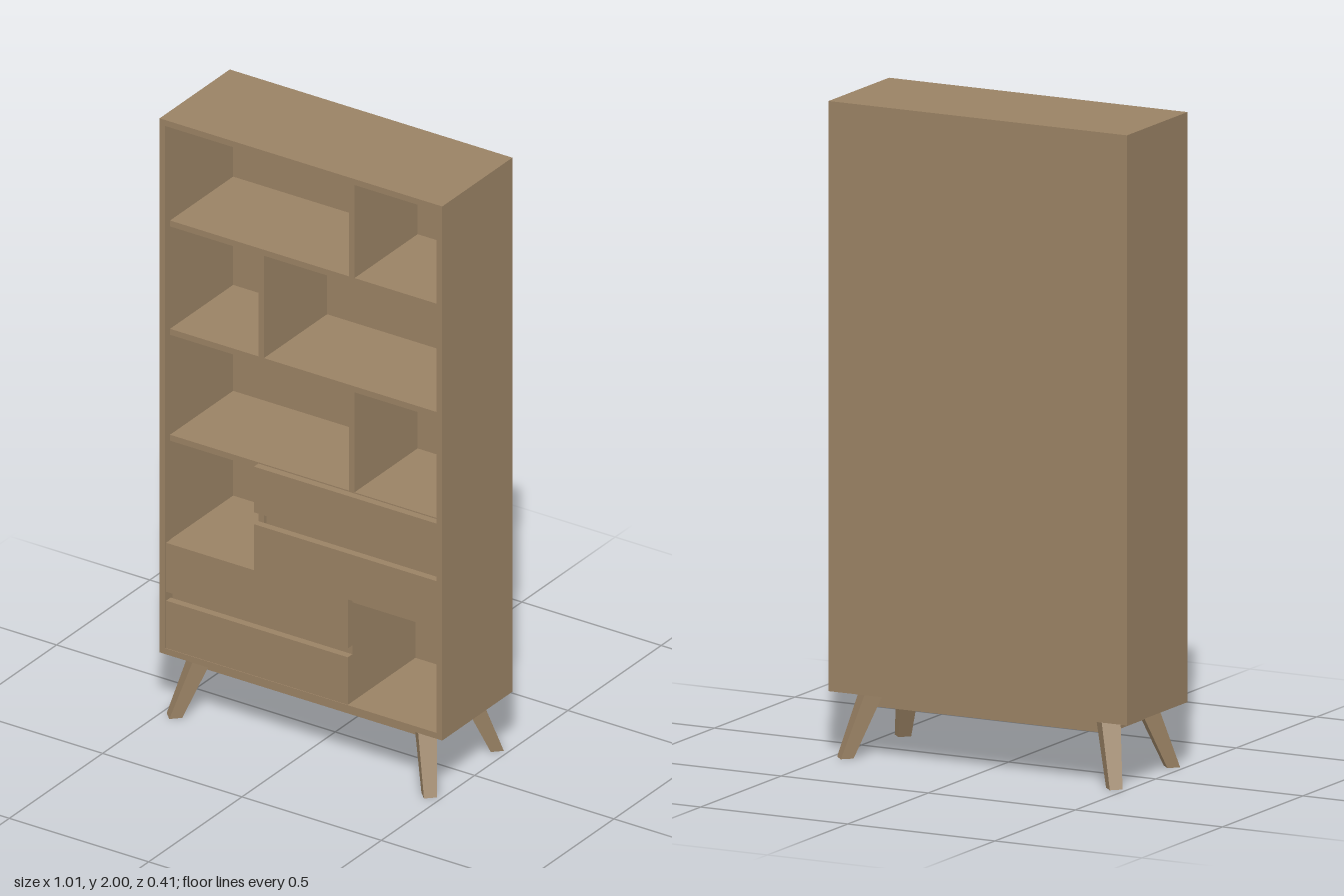
import * as THREE from 'three';

const W = 0.507, TOP = 2, BASE = 0.2, T = 0.02;      // case half width, heights, board thickness
const BACK = -0.192, INNER = 0.158, FRONT = 0.184;   // depth planes
const IN = W - T;                                    // inner half width

export function createModel() {
  const model = new THREE.Group();
  model.name = 'bookcase';
  const wood = new THREE.MeshStandardMaterial({ color: 0x9a8264 });
  wood.name = 'wood';

  const add = (name, geometry) => {
    const mesh = new THREE.Mesh(geometry, wood);
    mesh.name = name;
    model.add(mesh);
    return mesh;
  };
  // Box given by its limits on each axis
  const box = (name, x0, x1, y0, y1, z0, z1) => {
    const g = new THREE.BoxGeometry(x1 - x0, y1 - y0, z1 - z0);
    g.translate((x0 + x1) / 2, (y0 + y1) / 2, (z0 + z1) / 2);
    return add(name, g);
  };
  // Rectangular ring extruded in depth
  const ring = (name, z0, z1) => {
    const rect = (C, x, y0, y1) => {
      const p = new C();
      p.moveTo(-x, y0).lineTo(x, y0).lineTo(x, y1).lineTo(-x, y1).closePath();
      return p;
    };
    const shape = rect(THREE.Shape, W, BASE, TOP);
    shape.holes.push(rect(THREE.Path, IN, BASE + T, TOP - T));
    const g = new THREE.ExtrudeGeometry(shape, { depth: z1 - z0, bevelEnabled: false });
    g.translate(0, 0, z0);
    return add(name, g);
  };

  // Case, front edging and back panel
  ring('caseShell', BACK, INNER);
  ring('frontEdging', INNER, FRONT);
  box('backPanel', -IN, IN, BASE + T, TOP - T, BACK, BACK + 0.012);

  // Shelves, named by their top surface height
  const shelves = [0.575, 0.928, 1.285, 1.65];
  for (const y of shelves) box('shelf', -IN, IN, y - T, y, BACK + 0.012, INNER);

  // Upright dividers: left edge x, bottom, top
  const dividers = [
    [0.155, 1.65, TOP - T], [-0.17, 1.285, 1.63], [0.155, 0.928, 1.265],
    [-0.17, 0.575, 0.908], [0.147, BASE + T, 0.555],
  ];
  for (const [x, y0, y1] of dividers) box('divider', x, x + T, y0, y1, BACK + 0.012, INNER);

  // Drawer pairs: fronts separated by a recessed finger gap
  const drawers = [
    { x0: -0.17, x1: IN - 0.002, y0: 0.575, gap0: 0.73, gap1: 0.77, y1: 0.924, b0: -0.15, b1: IN },
    { x0: -IN + 0.002, x1: 0.167, y0: 0.206, gap0: 0.38, gap1: 0.41, y1: 0.575, b0: -IN, b1: 0.147 },
  ];
  for (const d of drawers) {
    box('lowerDrawerFront', d.x0, d.x1, Math.max(d.y0, BASE + T), d.gap0, INNER, FRONT - 0.002);
    box('upperDrawerFront', d.x0, d.x1, d.gap1, d.y1, INNER, FRONT - 0.002);
    box('drawerBody', d.b0, d.b1, Math.max(d.y0, BASE + T), d.y1 - T, BACK + 0.012, 0.145);
  }

  // Base rails under the case
  for (const s of [-1, 1]) {
    box('longRail', -0.405, 0.405, 0.152, BASE, s * 0.108 - 0.0125, s * 0.108 + 0.0125);
    box('shortRail', s * 0.392 - 0.0125, s * 0.392 + 0.0125, 0.152, BASE, -0.0955, 0.0955);
  }

  // Splayed, tapered legs with a diamond section
  for (const sx of [-1, 1]) for (const sz of [-1, 1]) {
    const g = new THREE.CylinderGeometry(0.042, 0.028, BASE, 4, 1).toNonIndexed();
    g.translate(0, BASE / 2, 0);
    const p = g.attributes.position;
    for (let i = 0; i < p.count; i++) {
      const t = p.getY(i) / BASE;
      p.setX(i, p.getX(i) + sx * (0.457 - 0.056 * t));
      p.setZ(i, p.getZ(i) + sz * (0.179 - 0.064 * t));
    }
    g.computeVertexNormals();
    add('leg', g);
  }
  return model;
}
